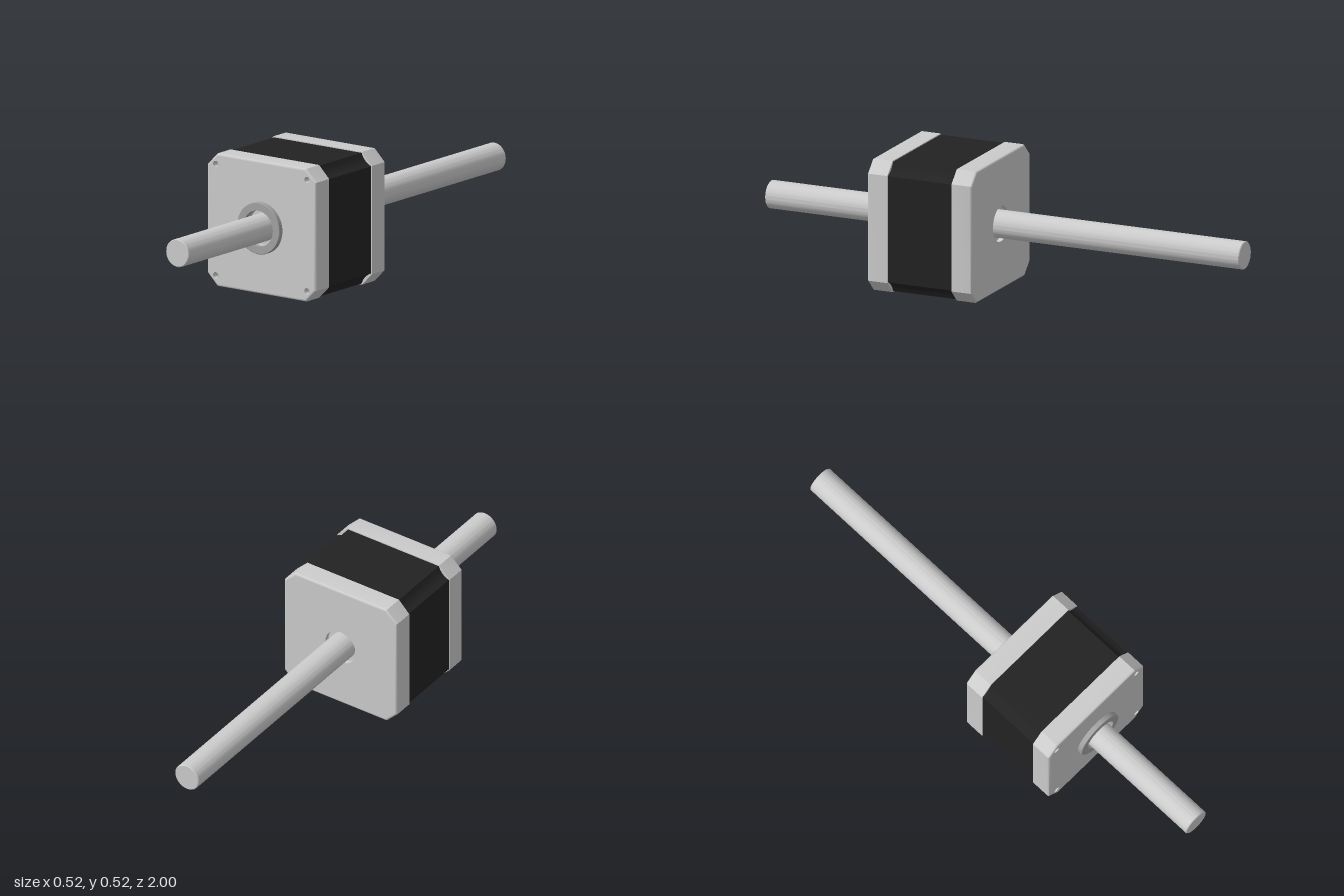
import * as THREE from 'three';
import { toCreasedNormals } from 'three/addons/utils/BufferGeometryUtils.js';

const AXIS_Y = 0.26, HALF = 0.26, CORNER = 0.212, PLATE = 0.085, BORE = 0.07, SCREW = 0.218, SCREW_R = 0.0125;

const grey = new THREE.MeshStandardMaterial({ color: 0xcccccc });
const greyDouble = new THREE.MeshStandardMaterial({ color: 0xcccccc, side: THREE.DoubleSide });
const darkGrey = new THREE.MeshStandardMaterial({ color: 0xa2a2a2, side: THREE.DoubleSide });
const black = new THREE.MeshStandardMaterial({ color: 0x222222 });

function add(parent, name, geometry, material) {
  const mesh = new THREE.Mesh(geometry, material);
  mesh.name = name;
  parent.add(mesh);
  return mesh;
}

// Square with cut corners, shrunk by an inset, counter-clockwise
function outline(inset) {
  const h = HALF - inset, k = CORNER - inset * Math.tan(Math.PI / 8);
  return [[h, -k], [h, k], [k, h], [-k, h], [-h, k], [-h, -k], [-k, -h], [k, -h]]
    .map(([x, y]) => new THREE.Vector2(x, y));
}

// Side wall through [inset, z] sections
function loft(sections) {
  const pos = [];
  const rings = sections.map(([inset, z]) => outline(inset).map(p => [p.x, p.y, z]));
  for (let s = 0; s < rings.length - 1; s++) {
    for (let i = 0; i < 8; i++) {
      const j = (i + 1) % 8;
      const a = rings[s][i], b = rings[s][j], c = rings[s + 1][j], d = rings[s + 1][i];
      pos.push(...a, ...b, ...c, ...a, ...c, ...d);
    }
  }
  const g = new THREE.BufferGeometry();
  g.setAttribute('position', new THREE.Float32BufferAttribute(pos, 3));
  return toCreasedNormals(g, 0.6);
}

// Profile of [radius, z] points turned about the z axis
function turned(points, segments = 64) {
  const g = new THREE.LatheGeometry(points.map(([r, z]) => new THREE.Vector2(r, z)), segments);
  g.rotateX(Math.PI / 2);
  return toCreasedNormals(g, 0.5);
}

function circlePath(x, y, r) {
  const path = new THREE.Path();
  path.absarc(x, y, r, 0, Math.PI * 2, true);
  return path;
}

// End plate: outer face at z = PLATE, with a rounded rim and a bore
function endPlate(name, withScrewHoles) {
  const plate = new THREE.Group();
  plate.name = name;
  const round = 0.008, sections = [[0, 0]];
  for (let i = 0; i <= 4; i++) {
    const a = i / 4 * Math.PI / 2;
    sections.push([round * (1 - Math.cos(a)), PLATE - round + round * Math.sin(a)]);
  }
  add(plate, 'plateSides', loft(sections), grey);
  add(plate, 'plateInnerFace', new THREE.ShapeGeometry(new THREE.Shape(outline(0))), greyDouble);

  const face = new THREE.Shape(outline(round));
  face.holes.push(circlePath(0, 0, BORE));
  if (withScrewHoles) {
    for (const sx of [-1, 1]) for (const sy of [-1, 1]) {
      face.holes.push(circlePath(sx * SCREW, sy * SCREW, SCREW_R));
      const hole = add(plate, 'screwHole',
        turned([[0, -0.038], [SCREW_R, -0.03], [SCREW_R, 0]], 24), greyDouble);
      hole.position.set(sx * SCREW, sy * SCREW, PLATE);
    }
  }
  add(plate, 'plateOuterFace', new THREE.ShapeGeometry(face, 32), grey);
  plate.getObjectByName('plateOuterFace').position.z = PLATE;

  // Recess around the shaft
  add(plate, 'bearingRecess',
    turned([[0.05, PLATE - 0.02], [BORE, PLATE - 0.02], [BORE, PLATE]]), greyDouble);
  return plate;
}

export function createModel() {
  const model = new THREE.Group();
  model.name = 'motor';
  const motor = new THREE.Group();
  motor.name = 'motorAssembly';
  motor.position.y = AXIS_Y;
  model.add(motor);

  // Laminated core with slightly hollow corners
  const core = new THREE.Shape();
  const h = 0.256, k = 0.21, c = 0.222;
  core.moveTo(h, -k);
  core.lineTo(h, k);
  core.quadraticCurveTo(c, c, k, h);
  core.lineTo(-k, h);
  core.quadraticCurveTo(-c, c, -h, k);
  core.lineTo(-h, -k);
  core.quadraticCurveTo(-c, -c, -k, -h);
  core.lineTo(k, -h);
  core.quadraticCurveTo(c, -c, h, -k);
  const coreGeo = new THREE.ExtrudeGeometry(core, { depth: 0.27, bevelEnabled: false, curveSegments: 8 });
  add(motor, 'core', toCreasedNormals(coreGeo, 0.4), black).position.z = 0.115;

  // End plates
  const front = endPlate('frontPlate', true);
  front.position.z = 0.385;
  const back = endPlate('backPlate', false);
  back.rotation.y = Math.PI;
  back.position.z = 0.115;
  motor.add(front, back);

  // Raised locating ring
  add(motor, 'locatingRing', turned([
    [0.101, 0.47], [0.101, 0.488], [0.099, 0.49], [BORE, 0.49], [BORE, 0.47],
  ]), darkGrey);

  // Through shaft with chamfered ends
  const r = 0.0545, tip = 0.0515;
  add(motor, 'shaft', turned([
    [0, -1], [tip, -1], [r, -0.997], [r, 0.997], [tip, 1], [0, 1],
  ]), greyDouble);

  return model;
}
